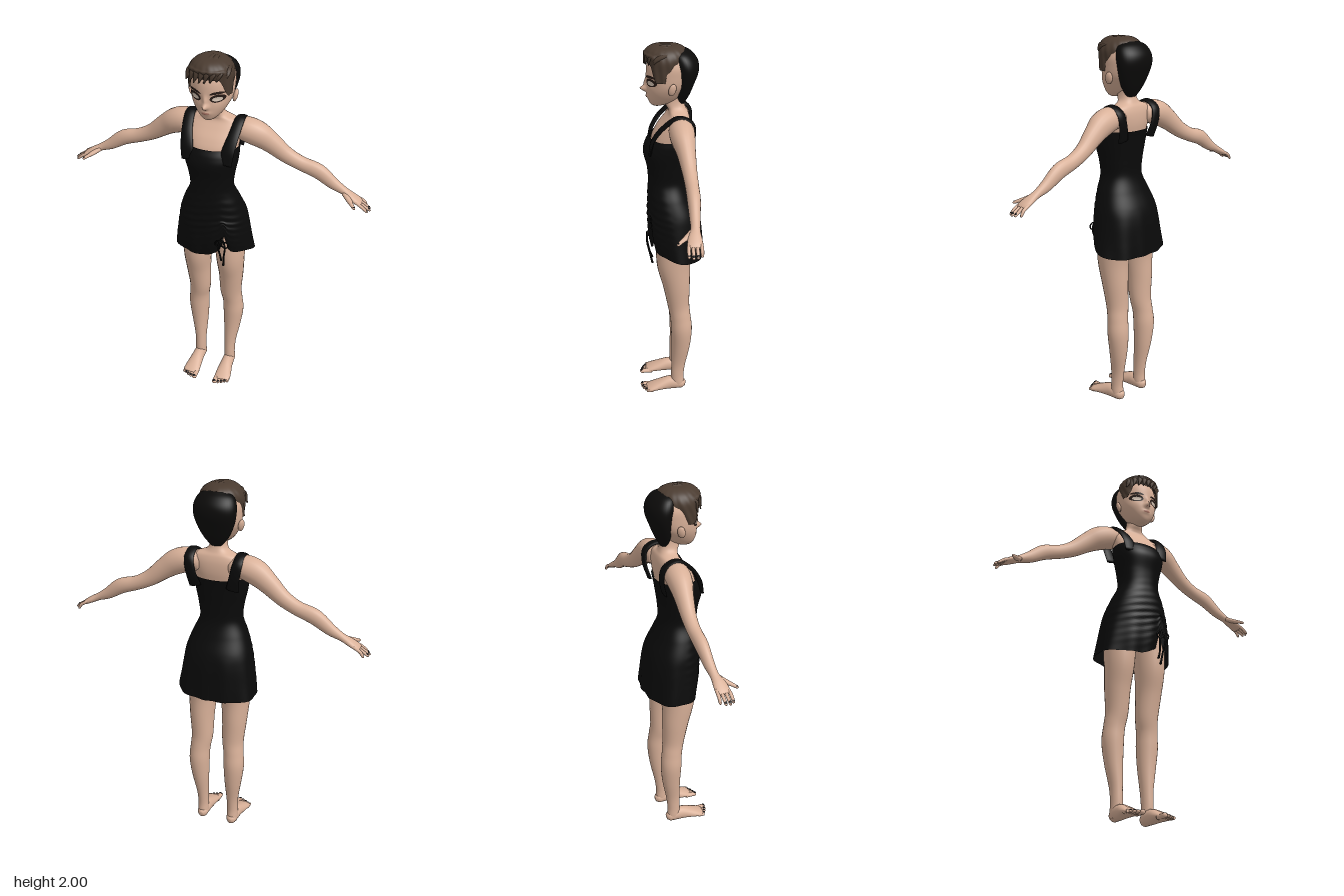
import * as THREE from 'three';

const mat = (name, color, side = THREE.FrontSide) => {
  const m = new THREE.MeshStandardMaterial({ color, side });
  m.name = name;
  return m;
};

export function createModel() {
  const skin = mat('skin', 0xd9b199);
  const cloth = mat('black cloth', 0x0a0a0a, THREE.DoubleSide);
  const brown = mat('brown hair', 0x4a3b30, THREE.DoubleSide);
  const dark = mat('black hair', 0x0c0b0a);
  const lash = mat('dark lashes', 0x2a1d18);
  const eyeWhite = mat('pale eye', 0xd8c6b6);
  const lip = mat('lips', 0xb07c6c);
  const nail = mat('black nails', 0x101012);
  const root = new THREE.Group();
  const V = (x, y, z) => new THREE.Vector3(x, y, z);
  const X = V(1, 0, 0), Y = V(0, 1, 0), Z = V(0, 0, 1);

  const add = (name, geo, material, parent = root) => {
    const m = new THREE.Mesh(geo, material);
    m.name = name;
    parent.add(m);
    return m;
  };
  const group = (name) => {
    const g = new THREE.Group();
    g.name = name;
    root.add(g);
    return g;
  };

  // Smooth skin over elliptical sections: keys are [x, y, z, halfWidth, halfDepth]
  function sweep(keys, { ref = X, axis = null, seg = 16, rows = 20, pow = 1, caps = true, mod = null } = {}) {
    const path = new THREE.CatmullRomCurve3(keys.map(k => V(k[0], k[1], k[2])), false, 'catmullrom');
    const size = new THREE.CatmullRomCurve3(keys.map(k => V(k[3], k[4], 0)), false, 'catmullrom');
    const pos = [], idx = [];
    const round = c => Math.sign(c) * Math.abs(c) ** pow;
    for (let i = 0; i <= rows; i++) {
      const u = i / rows, c = path.getPoint(u), r = size.getPoint(u);
      const t = axis || path.getTangent(u);
      const w = ref.clone().addScaledVector(t, -ref.dot(t)).normalize();
      const n = t.clone().cross(w);
      for (let j = 0; j < seg; j++) {
        const a = j / seg * Math.PI * 2;
        const p = c.clone().addScaledVector(w, r.x * round(Math.cos(a))).addScaledVector(n, r.y * round(Math.sin(a)));
        if (mod) mod(p, u, c);
        pos.push(p.x, p.y, p.z);
      }
    }
    for (let i = 0; i < rows; i++) for (let j = 0; j < seg; j++) {
      const a = i * seg + j, b = i * seg + (j + 1) % seg;
      idx.push(a, b, a + seg, b, b + seg, a + seg);
    }
    if (caps) {
      const s = pos.length / 3, e = rows * seg;
      const p0 = path.getPoint(0), p1 = path.getPoint(1);
      pos.push(p0.x, p0.y, p0.z, p1.x, p1.y, p1.z);
      for (let j = 0; j < seg; j++) {
        const k = (j + 1) % seg;
        idx.push(s, k, j, s + 1, e + j, e + k);
      }
    }
    const g = new THREE.BufferGeometry();
    g.setAttribute('position', new THREE.Float32BufferAttribute(pos, 3));
    g.setIndex(idx);
    g.computeVertexNormals();
    return g;
  }
  // Upright form: keys are [y, halfWidth, frontZ, backZ]
  const upright = (keys, opt) =>
    sweep(keys.map(([y, rx, f, b]) => [0, y, (f + b) / 2, rx, (f - b) / 2]), { axis: Y, ...opt });
  const ball = (x, y, z, a, b, c) => new THREE.SphereGeometry(1, 14, 10).scale(a, b, c).translate(x, y, z);
  const bell = (d, w) => Math.exp(-((d / w) ** 2));

  // Chest, shoulders and neck
  add('torso', upright([
    [1.38, .112, .105, -.07], [1.5, .13, .1, -.09], [1.56, .138, .075, -.1], [1.61, .14, .035, -.1],
    [1.645, .115, .01, -.092], [1.668, .06, .012, -.08], [1.7, .042, .028, -.07], [1.77, .04, .03, -.06],
  ], { seg: 40, rows: 36, pow: .85 }), skin);

  // Head with nose, lips and eye hollows raised from the surface
  const head = add('head', upright([
    [1.684, .016, .085, .045], [1.695, .036, .1, .01], [1.72, .062, .111, -.035], [1.76, .088, .117, -.07],
    [1.8, .104, .117, -.1], [1.85, .109, .12, -.12], [1.9, .107, .114, -.125], [1.95, .085, .09, -.1], [1.98, .03, .05, -.06],
  ], {
    seg: 112, rows: 64, mod: (p) => {
      if (p.z < .04) return;
      p.z += .03 * bell(p.x, .014) * bell(p.y - 1.772, .014) + .014 * bell(p.x, .012) * bell(p.y - 1.8, .025)
        + .007 * bell(p.x, .025) * bell(p.y - 1.735, .012)
        - .007 * bell(Math.abs(p.x) - .055, .025) * bell(p.y - 1.815, .02);
    },
  }), skin);

  // Thin face details laid on the head
  const ray = new THREE.Raycaster();
  root.updateMatrixWorld(true);
  function decal(name, material, x, y, rx, ry, lift, tilt = 0, bend = 0) {
    const g = new THREE.RingGeometry(.001, 1, 28, 4), p = g.attributes.position;
    for (let i = 0; i < p.count; i++) {
      const u = p.getX(i) * rx, v = p.getY(i) * ry - bend * p.getX(i) ** 2;
      const px = x + u, py = y + v + u * tilt;
      ray.set(V(px, py, 1), V(0, 0, -1));
      const hit = ray.intersectObject(head)[0];
      p.setXYZ(i, px, py, (hit ? hit.point.z : .05) + lift);
    }
    g.computeVertexNormals();
    add(name, g, material);
  }
  for (const s of [-1, 1]) {
    decal('eyeOutline', lash, s * .056, 1.816, .034, .021, .003, s * .1);
    decal('eye', eyeWhite, s * .056, 1.813, .023, .011, .005, s * .06);
    decal('eyebrow', lash, s * .055, 1.846, .034, .007, .003, s * .08, .005);
    decal('nostril', lip, s * .008, 1.762, .004, .003, .002);
    const ear = add('ear', ball(0, 0, 0, .012, .033, .02), skin);
    ear.position.set(s * .112, 1.795, -.005);
    ear.rotation.set(-.15, s * .4, -s * .2);
  }
  decal('mouth', lip, 0, 1.735, .021, .007, .002);

  // Hair: short dark back, brown crown with sideburns, swept fringe
  add('backHair', upright([
    [1.69, .025, -.04, -.068], [1.74, .066, -.025, -.096], [1.8, .095, -.02, -.12], [1.86, .11, -.012, -.141],
    [1.91, .109, 0, -.138], [1.95, .088, 0, -.11], [1.972, .045, -.01, -.075],
  ], { seg: 40, rows: 28 }), dark);
  add('crownHair', upright([
    [1.825, .107, .118, -.03], [1.88, .112, .125, -.06], [1.93, .113, .132, -.085],
    [1.967, .093, .122, -.078], [1.989, .055, .09, -.045], [1.993, .01, .045, 0],
  ], {
    seg: 80, rows: 28, caps: false, mod: (p, u, c) => {
      const a = Math.atan2(p.x, p.z - c.z);
      p.y += .085 * THREE.MathUtils.smoothstep(Math.cos(a), .25, .7) * Math.max(0, 1 - u * 1.8);
      const k = 1 + .022 * Math.sin(a * 18 + p.y * 50) * (1 - u);
      p.x *= k;
      p.z = c.z + (p.z - c.z) * k;
    },
  }), brown);
  for (let i = 0; i < 8; i++) {
    const t = i / 3.5 - 1, q = t * t;
    add('hairLock', sweep([
      [t * .045 + .01, 1.978 - .015 * q, -.05, .006, .004], [t * .075 + .012, 1.986 - .03 * q, .03, .017, .012],
      [t * .09, 1.955 - .02 * q, .115 * Math.sqrt(1 - .55 * q), .018, .011],
      [t * .095 - .016, 1.896 + .012 * t, .13 * Math.sqrt(1 - .62 * q), .003, .003],
    ], { seg: 8, rows: 14 }), brown);
  }

  // Dress body with flared wavy hem, gathered front and a raised slit
  add('dress', upright([
    [.868, .216, .1, -.176], [.95, .204, .116, -.17], [1.05, .189, .122, -.16], [1.12, .176, .122, -.142],
    [1.2, .148, .12, -.105], [1.28, .114, .116, -.078], [1.36, .12, .122, -.08], [1.44, .136, .14, -.09],
    [1.49, .14, .128, -.098], [1.525, .137, .106, -.105],
  ], {
    seg: 112, rows: 90, pow: .9, caps: false, mod: (p, u, c) => {
      const a = Math.atan2(p.x, p.z - c.z), low = Math.max(0, 1 - u * 3);
      const front = Math.max(0, Math.cos(a));
      const k = 1 + .025 * low * Math.sin(a * 9)
        + .022 * front * bell(p.y - 1.1, .13) * Math.sin(p.y * 150 + Math.abs(p.x - .08) * 35);
      p.x *= k;
      p.z = c.z + (p.z - c.z) * k;
      p.y += low * (.05 * bell(a - .62, .5) + .09 * bell(a - .62, .09) + .025 * bell(a - 1.3, .4));
    },
  }), cloth);
  // Shoulder straps and hanging drawstrings
  for (const s of [-1, 1]) {
    add('strap', sweep([
      [s * .098, 1.46, .108, .034, .008], [s * .108, 1.53, .092, .033, .009], [s * .122, 1.6, .045, .028, .01],
      [s * .13, 1.656, -.03, .026, .01], [s * .13, 1.63, -.1, .026, .01], [s * .118, 1.56, -.112, .028, .009],
      [s * .1, 1.48, -.092, .034, .008],
    ], { seg: 12, rows: 36 }), cloth);
    add('drawstring', sweep([
      [.09, 1.02, .122, .005, .005], [.09 + s * .018, .97, .128, .005, .005],
      [.088 + s * .01, .9, .115, .005, .005], [.085 + s * .006, .845 - s * .015, .1, .006, .006],
    ], { seg: 8, rows: 14 }), cloth);
    add('drawstringBow', new THREE.TorusGeometry(.018, .004, 6, 16).translate(.09 + s * .018, .985, .128), cloth);
  }

  // Arms, hands, legs and feet, once per side
  for (const s of [-1, 1]) {
    const arm = group(s > 0 ? 'leftArm' : 'rightArm');
    add('armSkin', sweep([
      [s * .08, 1.595, -.045, .05, .05], [s * .15, 1.597, -.047, .063, .063], [s * .215, 1.577, -.052, .06, .066],
      [s * .28, 1.535, -.062, .047, .055], [s * .36, 1.474, -.072, .037, .043], [s * .44, 1.434, -.078, .033, .038],
      [s * .53, 1.404, -.08, .032, .041], [s * .61, 1.35, -.079, .026, .031], [s * .67, 1.319, -.077, .022, .02],
      [s * .71, 1.298, -.072, .032, .018], [s * .745, 1.279, -.07, .036, .014], [s * .762, 1.27, -.07, .032, .008],
    ], { ref: Z, seg: 20, rows: 55 }), skin, arm);
    for (let i = 0; i < 4; i++) {
      const z = -.1 + i * .02, tip = .8 + [-.01, .008, .012, .002][i], w = .0085;
      add('finger', sweep([
        [s * .735, 1.285, z * .9 - .008, w, w], [s * .77, 1.266, z, w, w], [s * (tip - .006), 1.245, z, w * .85, w * .8],
        [s * tip, 1.239, z, .003, .003],
      ], { ref: Z, seg: 10, rows: 12 }), skin, arm);
      const n = add('fingernail', ball(0, 0, 0, .009, .003, .006), nail, arm);
      n.position.set(s * (tip - .008), 1.252, z);
      n.rotation.z = -s * .55;
    }
    add('thumb', sweep([
      [s * .672, 1.313, -.065, .012, .014], [s * .7, 1.298, -.04, .012, .015], [s * .724, 1.286, -.012, .009, .01],
      [s * .74, 1.278, .005, .007, .007], [s * .744, 1.275, .01, .002, .002],
    ], { ref: Y, seg: 12, rows: 16 }), skin, arm);
    add('thumbnail', ball(s * .738, 1.284, .003, .006, .003, .006), nail, arm);

    const leg = group(s > 0 ? 'leftLeg' : 'rightLeg');
    add('legSkin', sweep([
      [s * .088, 1.02, -.025, .085, .105], [s * .09, .93, -.018, .083, .1], [s * .094, .82, -.014, .077, .09],
      [s * .095, .7, -.028, .068, .074], [s * .091, .57, -.04, .06, .06], [s * .099, .49, -.051, .056, .056],
      [s * .103, .41, -.057, .057, .058], [s * .098, .3, -.054, .047, .051], [s * .091, .18, -.042, .033, .04],
      [s * .09, .1, -.036, .03, .036], [s * .09, .045, -.038, .031, .036], [s * .09, .015, -.04, .026, .03],
    ], { seg: 24, rows: 60 }), skin, leg);
    add('foot', sweep([
      [s * .088, .028, -.08, .012, .016], [s * .089, .032, -.062, .028, .03], [s * .09, .04, -.02, .033, .039],
      [s * .091, .038, .02, .035, .038], [s * .093, .028, .07, .042, .028], [s * .096, .018, .115, .046, .018],
      [s * .098, .013, .138, .04, .011],
    ], { ref: X, seg: 20, rows: 30 }), skin, leg);
    for (let i = 0; i < 5; i++) {
      const x = s * [.063, .085, .102, .118, .132][i], r = i ? .009 : .014, z = .174 - i * i * .0015 - i * .003;
      add('toe', sweep([
        [x, .014, .105, r, r * .9], [x, .013, .14, r, r * .9], [x, .012, z - .008, r, r * .85], [x, .011, z, r * .4, r * .4],
      ], { seg: 10, rows: 12 }), skin, leg);
      const n = add('toenail', ball(0, 0, 0, r * .7, .003, .007), nail, leg);
      n.position.set(x, .012 + r * .75, z - .009);
      n.rotation.x = .35;
    }
  }
  return root;
}
